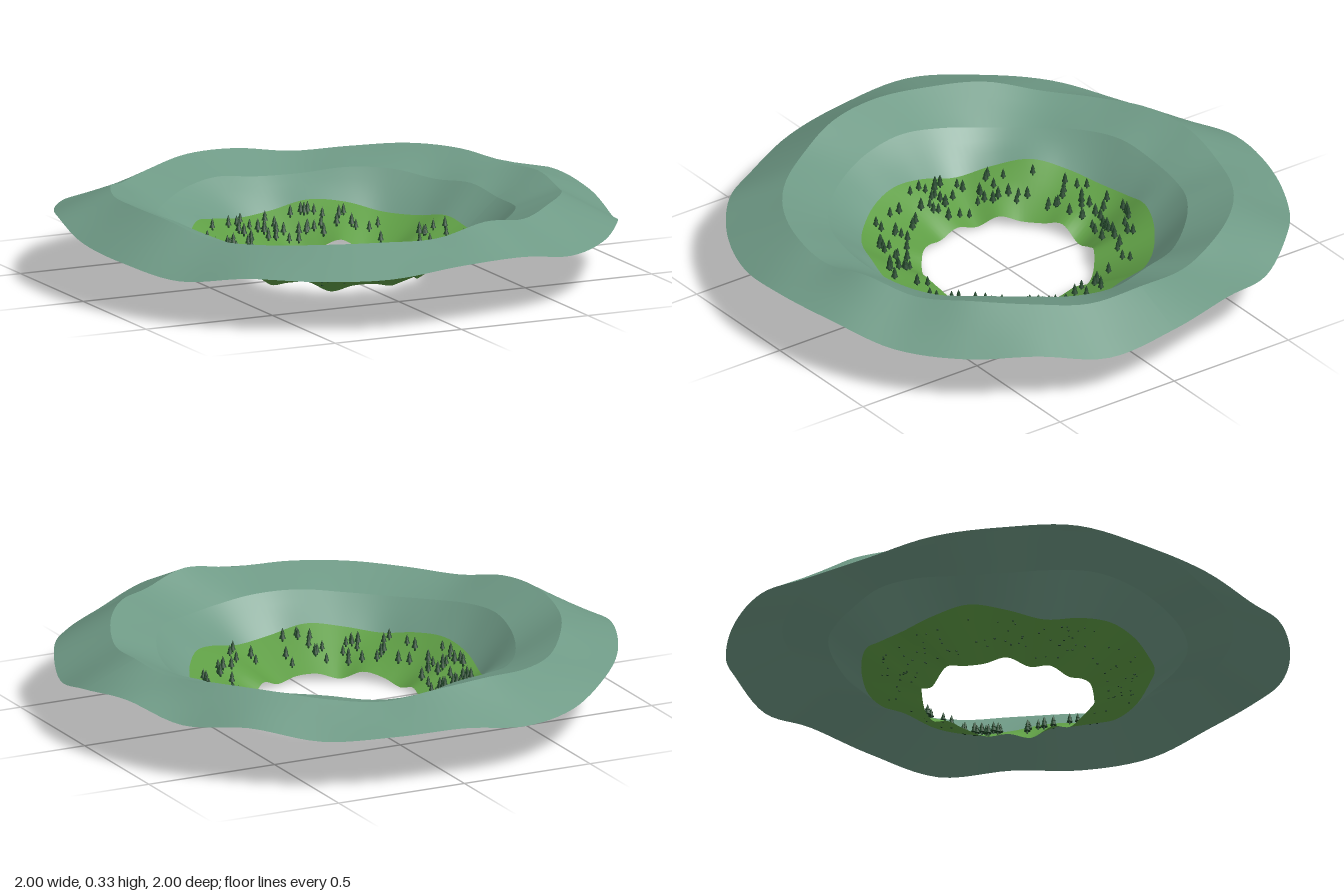
import * as THREE from 'three';
import { mergeGeometries } from 'three/addons/utils/BufferGeometryUtils.js';

const SEGMENTS = 144;

// Ring outlines: radius and height (in hundredths) every 15 degrees, from +x towards +z
const RINGS = [
  { r: 0.306, h: [3, 1.6, 3, 1, 4, 1.5, 3, 3, 1, 4, 3, 1, 3, 1.2, 4.4, 2.5, 3, 5, 0.5, 3, 6, 2, 1, 4] },
  { r: 0.52, h: [12, 12, 14, 16, 14, 11, 12, 15, 13.5, 12, 14, 15, 13, 10, 13, 16, 14, 12, 13, 16, 15, 12, 12, 14] },
  { r: 0.637, h: [22, 23, 25, 25, 23, 23, 24, 24, 22.5, 22, 23, 25, 26, 24, 22, 22, 24, 25, 23, 23, 25, 25, 23, 24] },
  { r: 0.8, h: [30, 28.5, 31, 32, 30.5, 33, 29.5, 29.5, 29, 28, 28, 32, 33, 32, 31.5, 28, 28.5, 30.5, 30, 27.5, 29, 31, 31, 29] },
  { r: 1, h: [21.5, 17, 21, 19.5, 19.5, 23.5, 23.5, 20.5, 20, 20, 16.5, 19, 21.5, 25, 23, 21, 17, 17, 21, 20.5, 19.5, 23, 20.5, 24.5] },
];

// Smooth periodic interpolation of a ring's heights
function ringHeight(ring, angle) {
  const h = ring.h, n = h.length;
  const u = (angle / (2 * Math.PI)) * n, i = Math.floor(u), t = u - i;
  const [a, b, c, d] = [-1, 0, 1, 2].map((k) => h[(((i + k) % n) + n) % n]);
  const v = b + 0.5 * t * (c - a + t * (2 * a - 5 * b + 4 * c - d + t * (3 * (b - c) + d - a)));
  return Math.max(0, v / 100);
}

// Height of the straight slope between two rings
function slopeHeight(inner, outer, r, angle) {
  return THREE.MathUtils.lerp(ringHeight(inner, angle), ringHeight(outer, angle), (r - inner.r) / (outer.r - inner.r));
}

// Ruled band joining two rings, upper side facing out
function bandGeometry(inner, outer, steps = 3) {
  const positions = [], indices = [], row = steps + 1;
  for (let i = 0; i <= SEGMENTS; i++) {
    const a = ((i % SEGMENTS) / SEGMENTS) * 2 * Math.PI;
    for (let j = 0; j <= steps; j++) {
      const r = THREE.MathUtils.lerp(inner.r, outer.r, j / steps);
      positions.push(r * Math.cos(a), slopeHeight(inner, outer, r, a), r * Math.sin(a));
      if (i < SEGMENTS && j < steps) {
        const p = i * row + j, q = p + row;
        indices.push(p, q, p + 1, q, q + 1, p + 1);
      }
    }
  }
  const g = new THREE.BufferGeometry();
  g.setAttribute('position', new THREE.Float32BufferAttribute(positions, 3));
  g.setIndex(indices);
  g.computeVertexNormals();
  return g;
}

function seededRandom(seed) {
  return () => {
    seed = (seed * 16807) % 2147483647;
    return seed / 2147483647;
  };
}

// A conifer: short trunk under two stacked cones
function treeGeometry(scale) {
  const g = mergeGeometries([
    new THREE.CylinderGeometry(0.003, 0.004, 0.014, 6).translate(0, 0.005, 0),
    new THREE.ConeGeometry(0.012, 0.028, 8).translate(0, 0.024, 0),
    new THREE.ConeGeometry(0.008, 0.022, 8).translate(0, 0.037, 0),
  ]);
  return g.scale(scale, scale, scale);
}

export function createModel() {
  const model = new THREE.Group();
  model.name = 'craterValley';
  const rock = new THREE.MeshStandardMaterial({ color: 0x6f9a86, side: THREE.DoubleSide });
  const grass = new THREE.MeshStandardMaterial({ color: 0x5f9e45, side: THREE.DoubleSide });
  const foliage = new THREE.MeshStandardMaterial({ color: 0x1f4427 });

  // Grass slope, then the rock bands out to the rim
  ['grassSlope', 'innerCliff', 'upperSlope', 'outerSlope'].forEach((name, i) => {
    const band = new THREE.Mesh(bandGeometry(RINGS[i], RINGS[i + 1]), i === 0 ? grass : rock);
    band.name = name;
    model.add(band);
  });

  // Groves: start angle, end angle, number of trees
  const groves = [
    [-16, 26, 22], [38, 78, 11], [90, 112, 12], [120, 142, 16],
    [150, 180, 14], [180, 228, 26], [238, 290, 34], [295, 332, 8],
  ];
  const random = seededRandom(41);
  const trees = [];
  for (const [from, to, count] of groves) {
    for (let i = 0; i < count; i++) {
      const a = THREE.MathUtils.degToRad(from + (to - from) * random());
      const r = 0.345 + 0.14 * random();
      const y = slopeHeight(RINGS[0], RINGS[1], r, a);
      trees.push(treeGeometry(0.8 + 0.3 * random()).translate(r * Math.cos(a), y, r * Math.sin(a)));
    }
  }
  const forest = new THREE.Mesh(mergeGeometries(trees), foliage);
  forest.name = 'coniferTrees';
  model.add(forest);
  return model;
}
